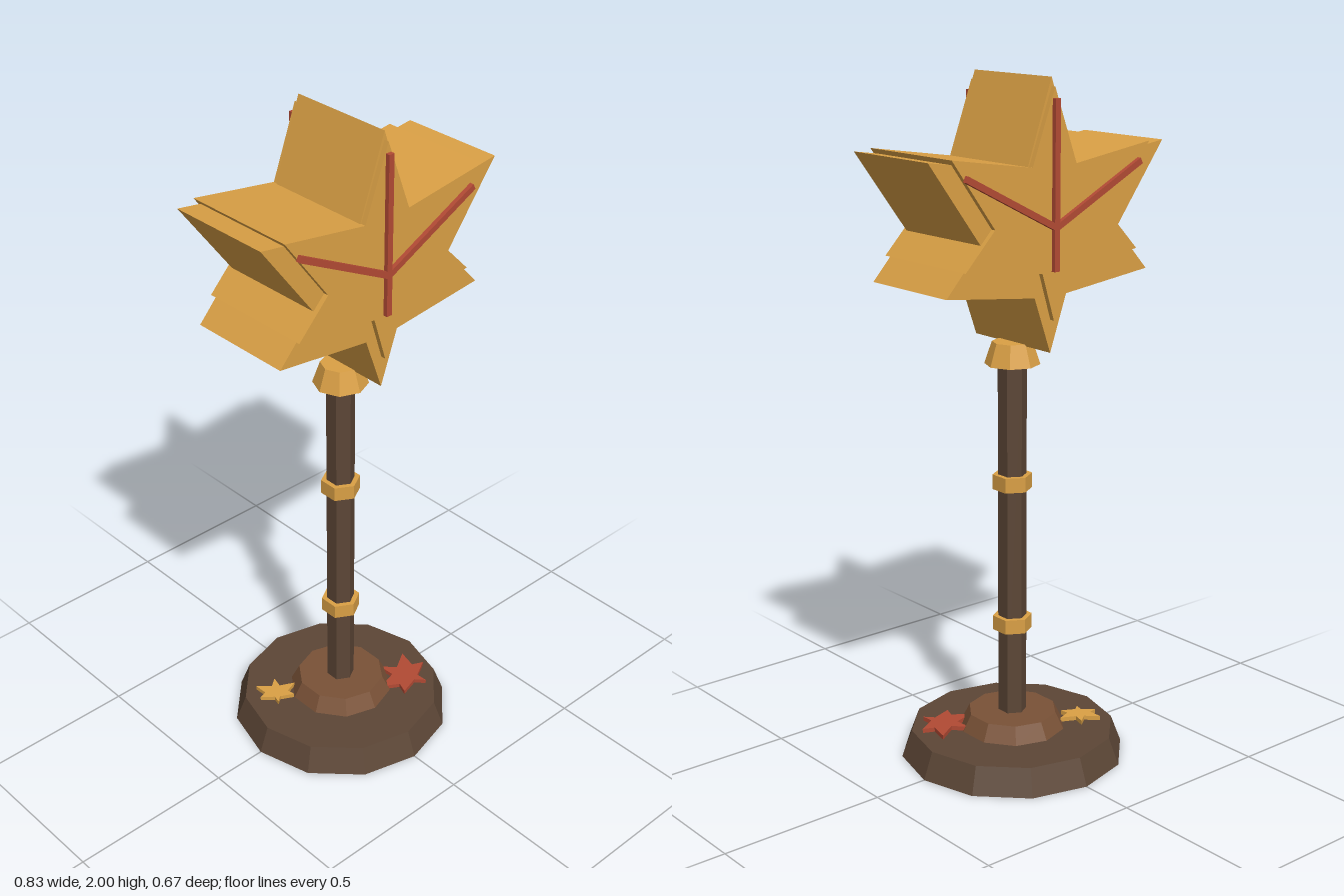
import * as THREE from 'three';

const mat = (name, color) => {
  const m = new THREE.MeshStandardMaterial({ color, flatShading: true });
  m.name = name;
  return m;
};

export function createModel() {
  const group = new THREE.Group();
  const darkWood = mat('darkWood', 0x5c4636);
  const wood = mat('wood', 0x7a5237);
  const gold = mat('gold', 0xdaa045);
  const red = mat('red', 0xb24a34);

  const add = (name, geo, material, x = 0, y = 0, z = 0) => {
    const m = new THREE.Mesh(geo, material);
    m.name = name;
    m.position.set(x, y, z);
    group.add(m);
    return m;
  };

  // Tapered round part standing between two heights
  const drum = (name, rTop, rBottom, y0, y1, sides, material) =>
    add(name, new THREE.CylinderGeometry(rTop, rBottom, y1 - y0, sides), material, 0, (y0 + y1) / 2);

  // Mirrored leaf: right half from the top tip to the bottom tip, centred in depth
  const leaf = (half, depth) => {
    const left = half.slice(1, -1).reverse().map(([x, y]) => [-x, y]);
    const shape = new THREE.Shape([...half, ...left].map(([x, y]) => new THREE.Vector2(x, y)));
    const geo = new THREE.ExtrudeGeometry(shape, { depth, bevelEnabled: false });
    return geo.translate(0, 0, -depth / 2);
  };

  // Stand
  drum('base', 0.303, 0.333, 0, 0.08, 12, darkWood);
  drum('baseCollar', 0.132, 0.157, 0.08, 0.13, 10, wood);
  drum('pole', 0.042, 0.042, 0.13, 1.2, 6, darkWood);
  drum('lowerRing', 0.058, 0.058, 0.387, 0.43, 6, gold);
  drum('upperRing', 0.058, 0.058, 0.82, 0.864, 6, gold);
  drum('poleCap', 0.058, 0.08, 1.19, 1.255, 8, gold);

  // Leaf head: a wide leaf with a smaller, thicker one inside it
  const outer = [[0, 2], [0.086, 1.757], [0.415, 1.805], [0.243, 1.573], [0.36, 1.445], [0.057, 1.41], [0, 1.25]];
  const inner = [[0, 1.975], [0.078, 1.767], [0.35, 1.808], [0.207, 1.614], [0.307, 1.51], [0.042, 1.478], [0, 1.343]];
  add('outerLeaf', leaf(outer, 0.325), gold);
  add('innerLeaf', leaf(inner, 0.355), gold);

  // Veins on both faces
  const vein = (z, x0, y0, x1, y1) => {
    const length = Math.hypot(x1 - x0, y1 - y0);
    const m = add('vein', new THREE.BoxGeometry(0.018, length, 0.013), red, (x0 + x1) / 2, (y0 + y1) / 2, z);
    m.rotation.z = Math.atan2(x0 - x1, y1 - y0);
  };
  for (const z of [0.184, -0.184]) {
    vein(z, 0, 1.48, 0, 1.945);
    for (const s of [1, -1]) vein(z, 0, 1.6, s * 0.31, 1.757);
  }

  // Fallen leaves lying on the base
  const fallen = (name, material, x, z, size, turn) => {
    const geo = leaf(outer.map(([px, py]) => [px * size, (py - 1.625) * size]), 0.013);
    geo.rotateX(-Math.PI / 2).rotateY(turn);
    add(name, geo, material, x, 0.088, z);
  };
  fallen('redFallenLeaf', red, 0.165, 0.11, 0.21, 0.4);
  fallen('goldFallenLeaf', gold, -0.18, -0.1, 0.145, -0.6);

  return group;
}
